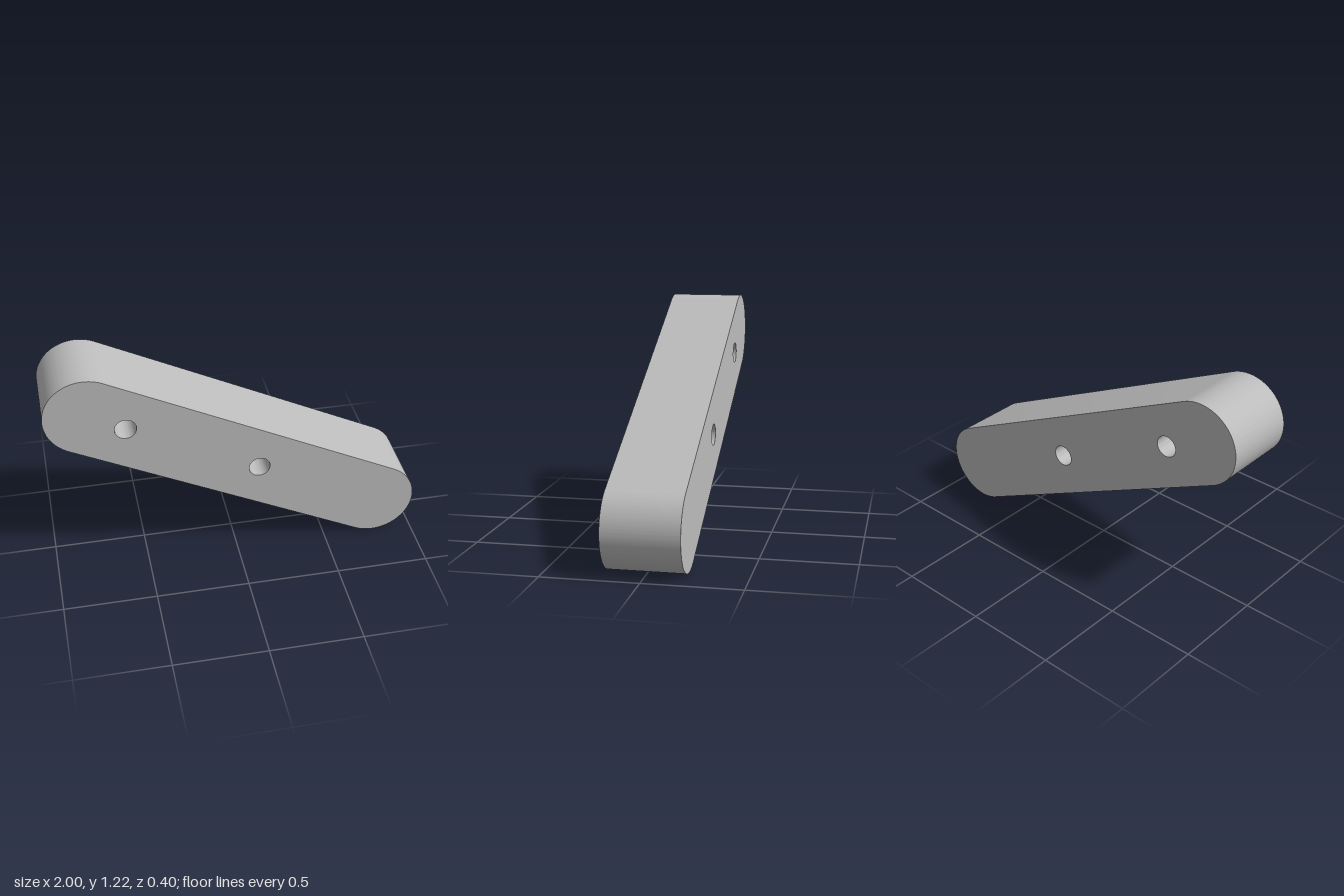
import * as THREE from 'three';
import { toCreasedNormals } from 'three/addons/utils/BufferGeometryUtils.js';

const RADIUS = 0.22;        // rounded ends
const HALF_SPAN = 0.872;    // bar centre to end centre
const DEPTH = 0.395;
const HOLE_RADIUS = 0.057;
const HOLES = [-0.654, 0.132]; // positions along the bar
const TILT = -Math.atan2(0.78, 1.56);

export function createModel() {
  const group = new THREE.Group();
  group.name = 'slottedLink';

  const grey = new THREE.MeshStandardMaterial({ color: 0xbcbcbc });
  grey.name = 'plain grey';

  // Stadium outline, drawn along x
  const outline = new THREE.Shape();
  outline.absarc(HALF_SPAN, 0, RADIUS, -Math.PI / 2, Math.PI / 2, false);
  outline.absarc(-HALF_SPAN, 0, RADIUS, Math.PI / 2, Math.PI * 1.5, false);
  outline.closePath();

  // Through holes on the centre line
  for (const x of HOLES) {
    const hole = new THREE.Path();
    hole.absarc(x, 0, HOLE_RADIUS, 0, Math.PI * 2, true);
    outline.holes.push(hole);
  }

  const solid = new THREE.ExtrudeGeometry(outline, {
    depth: DEPTH, bevelEnabled: false, curveSegments: 48,
  });
  solid.translate(0, 0, -DEPTH / 2);

  // Bar, tilted down towards +x
  const bar = new THREE.Mesh(toCreasedNormals(solid, Math.PI / 6), grey);
  bar.name = 'linkBar';
  bar.rotation.z = TILT;
  bar.position.y = 0.61;
  group.add(bar);

  return group;
}
